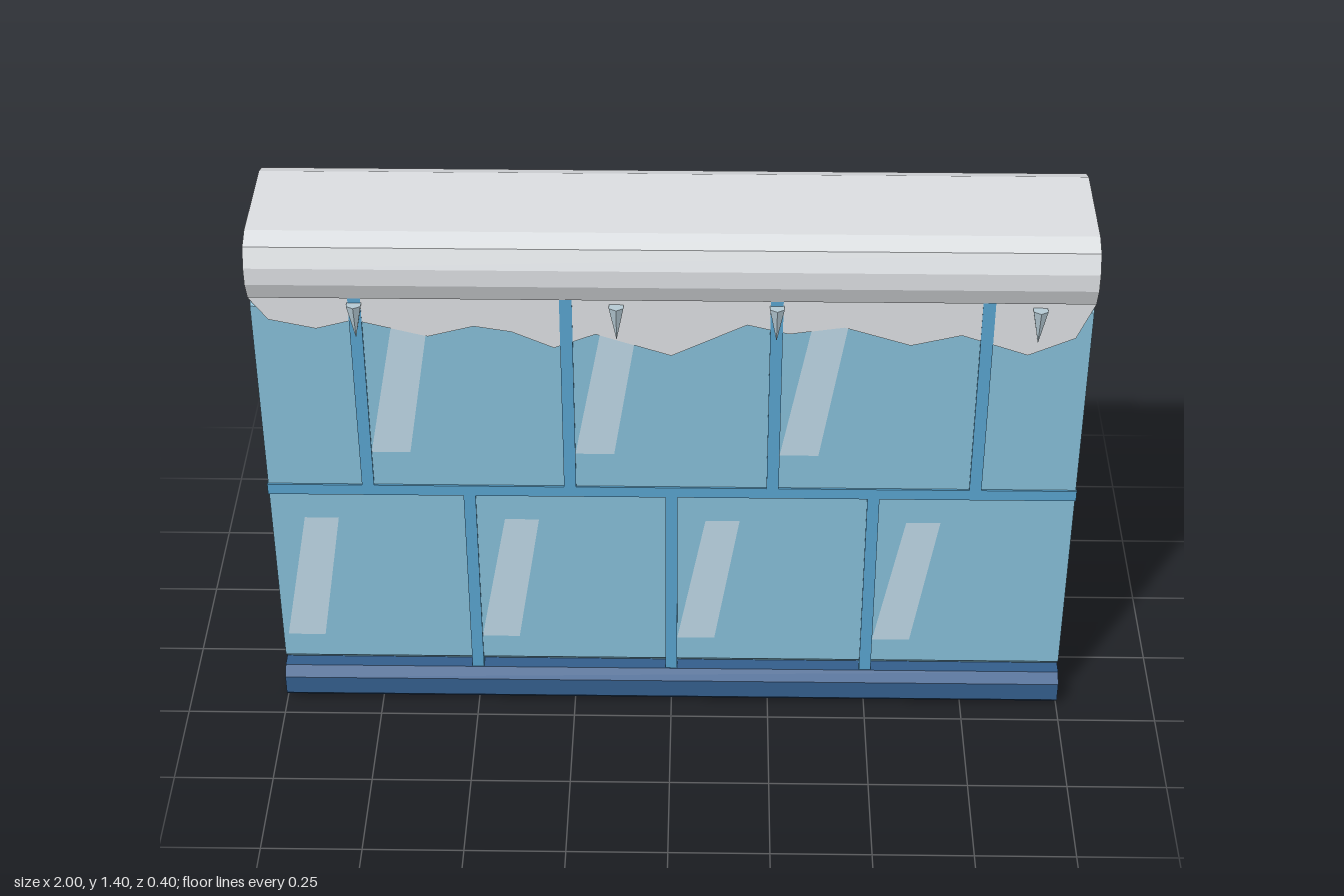
import * as THREE from 'three';

const mat = (name, color, side = THREE.FrontSide) => {
  const m = new THREE.MeshStandardMaterial({ color, side });
  m.name = name;
  return m;
};

export function createModel() {
  const group = new THREE.Group();
  const ice = mat('iceBlue', 0x84bcd5);
  const joint = mat('jointBlue', 0x58a1cb);
  const base = mat('deepBlue', 0x335d8b);
  const snow = mat('snow', 0xdadde0);
  const drift = mat('snowDrip', 0xdadde0, THREE.DoubleSide);
  drift.color = snow.color;
  const shine = mat('shine', 0xbad4e2, THREE.DoubleSide);
  const icicleMat = mat('icicle', 0xb4c8d2);

  const add = (name, geometry, material, x = 0, y = 0, z = 0) => {
    const mesh = new THREE.Mesh(geometry, material);
    mesh.name = name;
    mesh.position.set(x, y, z);
    group.add(mesh);
    return mesh;
  };
  const shapeOf = (pts) => new THREE.Shape(pts.map(([x, y]) => new THREE.Vector2(x, y)));

  // Bar along x from half of a symmetric [z, y] profile, listed bottom to top
  const bar = (name, half, length, material) => {
    const pts = [...half, ...half.map(([z, y]) => [-z, y]).reverse()];
    const g = new THREE.ExtrudeGeometry(shapeOf(pts), { depth: length, bevelEnabled: false });
    g.translate(0, 0, -length / 2);
    g.rotateY(Math.PI / 2);
    return add(name, g, material);
  };

  bar('base', [[0.175, 0], [0.2, 0.025], [0.2, 0.077], [0.177, 0.1]], 2, base);
  bar('iceWall', [[0.14, 0.1], [0.17, 0.13], [0.17, 1.21], [0.14, 1.24]], 1.996, ice);
  bar('snowCap', [[0.178, 1.24], [0.2, 1.29], [0.2, 1.335], [0.18, 1.382], [0.134, 1.4]], 2, snow);

  // Mortar joints run through the whole wall
  add('rowJoint', new THREE.BoxGeometry(2, 0.03, 0.35), joint, 0, 0.67, 0);
  for (const x of [-0.75, -0.25, 0.25, 0.75])
    add('upperJoint', new THREE.BoxGeometry(0.03, 0.555, 0.35), joint, x, 0.9625, 0);
  for (const x of [-0.5, 0, 0.5])
    add('lowerJoint', new THREE.BoxGeometry(0.03, 0.555, 0.35), joint, x, 0.3775, 0);

  // Slanted reflections on both faces
  const shineGeo = new THREE.ShapeGeometry(shapeOf([[0, 0], [0.095, 0], [0.155, 0.38], [0.07, 0.38]]));
  // Ragged snow edge
  const edge = [
    [-1, 1.235], [-0.957, 1.175], [-0.845, 1.15], [-0.755, 1.175], [-0.58, 1.13], [-0.47, 1.16],
    [-0.38, 1.145], [-0.28, 1.1], [-0.18, 1.14], [0, 1.08], [0.18, 1.17], [0.28, 1.145],
    [0.41, 1.165], [0.57, 1.115], [0.69, 1.145], [0.85, 1.09], [0.96, 1.14], [1, 1.235], [1, 1.24], [-1, 1.24],
  ];
  const dripGeo = new THREE.ShapeGeometry(shapeOf(edge));

  for (const s of [1, -1]) {
    for (let i = 0; i < 4; i++) add('lowerShine', shineGeo, shine, -0.985 + i * 0.5, 0.2, s * 0.1715);
    for (let i = 0; i < 3; i++) add('upperShine', shineGeo, shine, -0.735 + i * 0.5, 0.785, s * 0.1715);

    const drip = add('snowDrip', dripGeo, drift, 0, 0, s * 0.1732);
    if (s < 0) drip.rotation.y = Math.PI;

    // Icicles hang just under the cap, longer at the back
    const len = s > 0 ? 0.095 : 0.145;
    const cone = new THREE.ConeGeometry(0.02, len, 6).toNonIndexed();
    cone.rotateX(Math.PI);
    cone.computeVertexNormals();
    for (const x of [-0.75, -0.13, 0.25, 0.87])
      add('icicle', cone, icicleMat, x, 1.225 - len / 2, s * 0.18);
  }
  return group;
}
